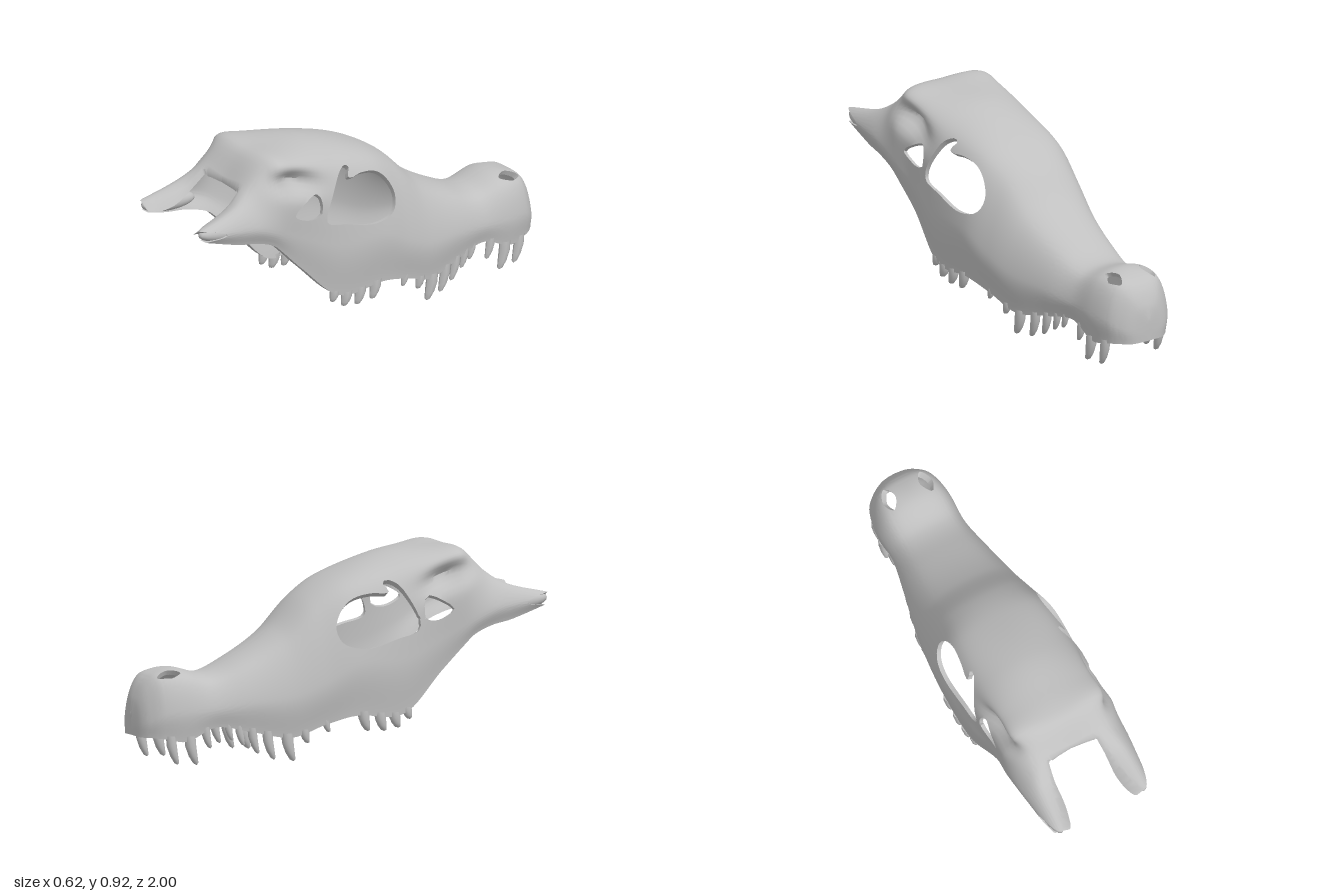
import * as THREE from 'three';
import { toCreasedNormals } from 'three/addons/utils/BufferGeometryUtils.js';

// Cross-section stations: z, ridge y, shoulder x y, widest x y, lower edge y
const STATIONS = [
  [-1, .245, 0, .22, 0, .18, .145],
  [-.985, .31, .045, .295, .08, .2, .14],
  [-.95, .38, .08, .36, .133, .22, .14],
  [-.9, .42, .11, .4, .166, .25, .135],
  [-.8, .44, .13, .405, .186, .26, .12],
  [-.65, .41, .13, .375, .185, .26, .175],
  [-.5, .465, .14, .425, .212, .28, .15],
  [-.3, .585, .16, .53, .256, .3, .115],
  [-.15, .725, .17, .67, .285, .36, .165],
  [0, .81, .2, .755, .305, .44, .2],
  [.25, .895, .225, .815, .295, .45, .195],
  [.45, .916, .237, .865, .27, .53, .375],
  [.56, .918, .235, .89, .28, .58, .485],
  [.61, .9, .21, .87, .284, .605, .53],
  [.7, .79, .19, .795, .28, .64, .565],
  [.8, .675, .21, .738, .27, .655, .583],
  [1, .6, .22, .69, .25, .665, .642],
];
const LOWER_WIDTH = .93; // lower edge x relative to the widest x

const { smoothstep, clamp } = THREE.MathUtils;

// Smooth interpolation of one station column
function column(z, c) {
  const S = STATIONS;
  let i = 0;
  while (i < S.length - 2 && z > S[i + 1][0]) i++;
  const slope = (k) => {
    const a = S[Math.max(k - 1, 0)], b = S[Math.min(k + 1, S.length - 1)];
    return (b[c] - a[c]) / (b[0] - a[0]);
  };
  const h = S[i + 1][0] - S[i][0], t = (z - S[i][0]) / h, t2 = t * t, t3 = t2 * t;
  return (2 * t3 - 3 * t2 + 1) * S[i][c] + (t3 - 2 * t2 + t) * h * slope(i)
    + (3 * t2 - 2 * t3) * S[i + 1][c] + (t3 - t2) * h * slope(i + 1);
}

// Point on the skull wall; inner = true gives the inside face
function wall(u, v, inner) {
  const z = -1 + 2 * Math.pow(u, 1.6);
  const [top, xs, ys, xw, yw, yb] = [1, 2, 3, 4, 5, 6].map((c) => column(z, c));
  const t = inner ? .02 + .02 * smoothstep(z, .75, .9) : 0;
  const flange = inner ? .025 * smoothstep(z, .1, .3) * (1 - smoothstep(z, .65, .8)) : 0;
  const inset = (x, d) => Math.max(x - d, 0);
  const half = [[inset(xw * LOWER_WIDTH, t + flange), yb], [inset(xw, t), yw], [inset(xs, t), Math.max(ys - t, yw)]];
  const pts = [
    ...half.map(([x, y]) => new THREE.Vector3(-x, y, 0)),
    new THREE.Vector3(0, top - t, 0),
    ...half.reverse().map(([x, y]) => new THREE.Vector3(x, y, 0)),
  ];
  const p = new THREE.CatmullRomCurve3(pts).getPoint(v);
  // hollow under the overhanging skull table, rising towards the back
  const grooveY = .78 + .25 * (z - .4);
  p.x *= 1 - .28 * Math.exp(-(((z - .48) / .12) ** 2) - ((p.y - grooveY) / .05) ** 2);
  p.z = z + t * clamp((-.8 - z) / .2, 0, 1);
  return p;
}

// Closed smooth outline, returned as a signed distance (positive outside)
function outline(points) {
  const poly = new THREE.CatmullRomCurve3(points.map(([a, b]) => new THREE.Vector3(a, b, 0)), true).getPoints(60);
  return (a, b) => {
    let d = 1e9, inside = false;
    for (let i = 0; i < 60; i++) {
      const p = poly[i], q = poly[i + 1], ex = q.x - p.x, ey = q.y - p.y;
      const s = clamp(((a - p.x) * ex + (b - p.y) * ey) / (ex * ex + ey * ey || 1), 0, 1);
      d = Math.min(d, Math.hypot(a - p.x - s * ex, b - p.y - s * ey));
      if ((p.y > b) !== (q.y > b) && a < p.x + (b - p.y) / ey * ex) inside = !inside;
    }
    return inside ? -d : d;
  };
}

const orbit = outline([[.325, .575], [.265, .73], [.22, .785], [.175, .798], [.16, .78], [.185, .757],
  [.17, .742], [.1, .745], [0, .72], [-.06, .66], [-.085, .59], [-.06, .53], [.05, .503], [.22, .54]]);
const cheekHole = outline([[.5, .65], [.46, .685], [.37, .72], [.35, .69], [.355, .62], [.42, .607]]);
const nostril = outline([[.092, -.91], [.125, -.85], [.098, -.795], [.062, -.85]]);

// Positive where bone remains
function bone(p) {
  const x = Math.abs(p.x);
  // notch between the rear prongs, and their rounded ends
  let f = Math.min(.79 + 36 * x ** 3, 1 - 50 * (x - .213) ** 2) - p.z;
  if (p.z < .7) f = 1;
  if (x > .12 && p.z > -.15) f = Math.min(f, orbit(p.z, p.y), cheekHole(p.z, p.y));
  if (p.z < -.7 && p.y > .31) f = Math.min(f, nostril(x, p.z));
  return f;
}

function shellGeometry() {
  const NU = 130, NV = 96, verts = [], ids = new Map(), tris = [], grid = [];
  for (let i = 0; i <= NU; i++) for (let j = 0; j <= NV; j++) {
    const u = i / NU, v = j / NV;
    grid.push({ u, v, f: bone(wall(u, v, false)) });
  }
  const id = ({ u, v }) => {
    const key = Math.round(u * 1e6) + '_' + Math.round(v * 1e6);
    if (!ids.has(key)) {
      ids.set(key, verts.length);
      verts.push([wall(u, v, false), wall(u, v, true)]);
    }
    return ids.get(key);
  };
  // cut each triangle along the edges of the openings
  const clip = (tri) => {
    const out = [];
    tri.forEach((a, k) => {
      const b = tri[(k + 1) % 3];
      if (a.f >= 0) out.push(id(a));
      if ((a.f >= 0) !== (b.f >= 0)) {
        const s = a.f / (a.f - b.f);
        out.push(id({ u: a.u + (b.u - a.u) * s, v: a.v + (b.v - a.v) * s }));
      }
    });
    for (let k = 2; k < out.length; k++) {
      const t = [out[0], out[k - 1], out[k]];
      if (new Set(t).size === 3) tris.push(t);
    }
  };
  for (let i = 0; i < NU; i++) for (let j = 0; j < NV; j++) {
    const a = grid[i * (NV + 1) + j], b = grid[(i + 1) * (NV + 1) + j];
    const c = grid[(i + 1) * (NV + 1) + j + 1], d = grid[i * (NV + 1) + j + 1];
    clip([a, b, c]);
    clip([a, c, d]);
  }
  // outer face, inner face, and rims along every free edge except the closed nose seam
  const pos = [], put = (...ps) => ps.forEach((p) => pos.push(p.x, p.y, p.z));
  const edges = new Set();
  for (const [a, b, c] of tris) {
    put(verts[a][0], verts[b][0], verts[c][0]);
    put(verts[a][1], verts[c][1], verts[b][1]);
    edges.add(a + '_' + b).add(b + '_' + c).add(c + '_' + a);
  }
  for (const e of edges) {
    const [a, b] = e.split('_').map(Number);
    const onSeam = Math.max(verts[a][0].z, verts[b][0].z) < -.9999;
    if (onSeam || edges.has(b + '_' + a)) continue;
    put(verts[b][0], verts[a][0], verts[a][1], verts[b][0], verts[a][1], verts[b][1]);
  }
  const g = new THREE.BufferGeometry();
  g.setAttribute('position', new THREE.Float32BufferAttribute(pos, 3));
  return toCreasedNormals(g, .8);
}

// Tapered blunt tooth, root at the origin, tip swept towards +z
function toothGeometry(length, radius) {
  const profile = [[0, -1], [.5, -.93], [.8, -.7], [1, -.35], [1, 0]]
    .map(([r, y]) => new THREE.Vector2(r * radius, y * length));
  const g = new THREE.LatheGeometry(profile, 10), p = g.attributes.position;
  for (let i = 0; i < p.count; i++) {
    const s = -p.getY(i) / length;
    p.setZ(i, p.getZ(i) * 1.15 + .25 * length * s * s);
  }
  g.computeVertexNormals();
  return g;
}

export function createModel() {
  const model = new THREE.Group();
  const boneGrey = new THREE.MeshStandardMaterial({ color: 0xc0c0c0, side: THREE.DoubleSide });
  boneGrey.name = 'boneGrey';
  const add = (name, geometry, x, y, z, parent = model) => {
    const m = new THREE.Mesh(geometry, boneGrey);
    m.name = name;
    m.position.set(x, y, z);
    parent.add(m);
    return m;
  };

  add('skullShell', shellGeometry(), 0, 0, 0);

  // Teeth: z of root, tip y, radius
  const teeth = new THREE.Group();
  teeth.name = 'teeth';
  model.add(teeth);
  const rows = [
    [.265, .165, .02], [.2, .13, .023], [.125, .12, .023], [.04, .125, .023],
    [-.14, .13, .015], [-.24, .085, .019], [-.32, .005, .024], [-.41, .015, .021],
    [-.48, .045, .019], [-.54, .085, .016], [-.59, .11, .015], [-.7, .08, .018],
    [-.78, .01, .023], [-.87, .015, .021],
  ];
  for (const side of [-1, 1]) {
    for (const [z, tip, r] of rows) {
      const y = column(z, 6) + .02, x = column(z, 4) * LOWER_WIDTH - .012;
      add('tooth', toothGeometry(y - tip, r), side * x, y, z, teeth);
    }
    // Solid core of each rear jaw prong
    const core = add(side > 0 ? 'leftProng' : 'rightProng', new THREE.SphereGeometry(1, 20, 14), side * .21, .652, .85);
    core.scale.set(.045, .042, .15);
    core.rotation.x = -.1;
  }
  return model;
}
